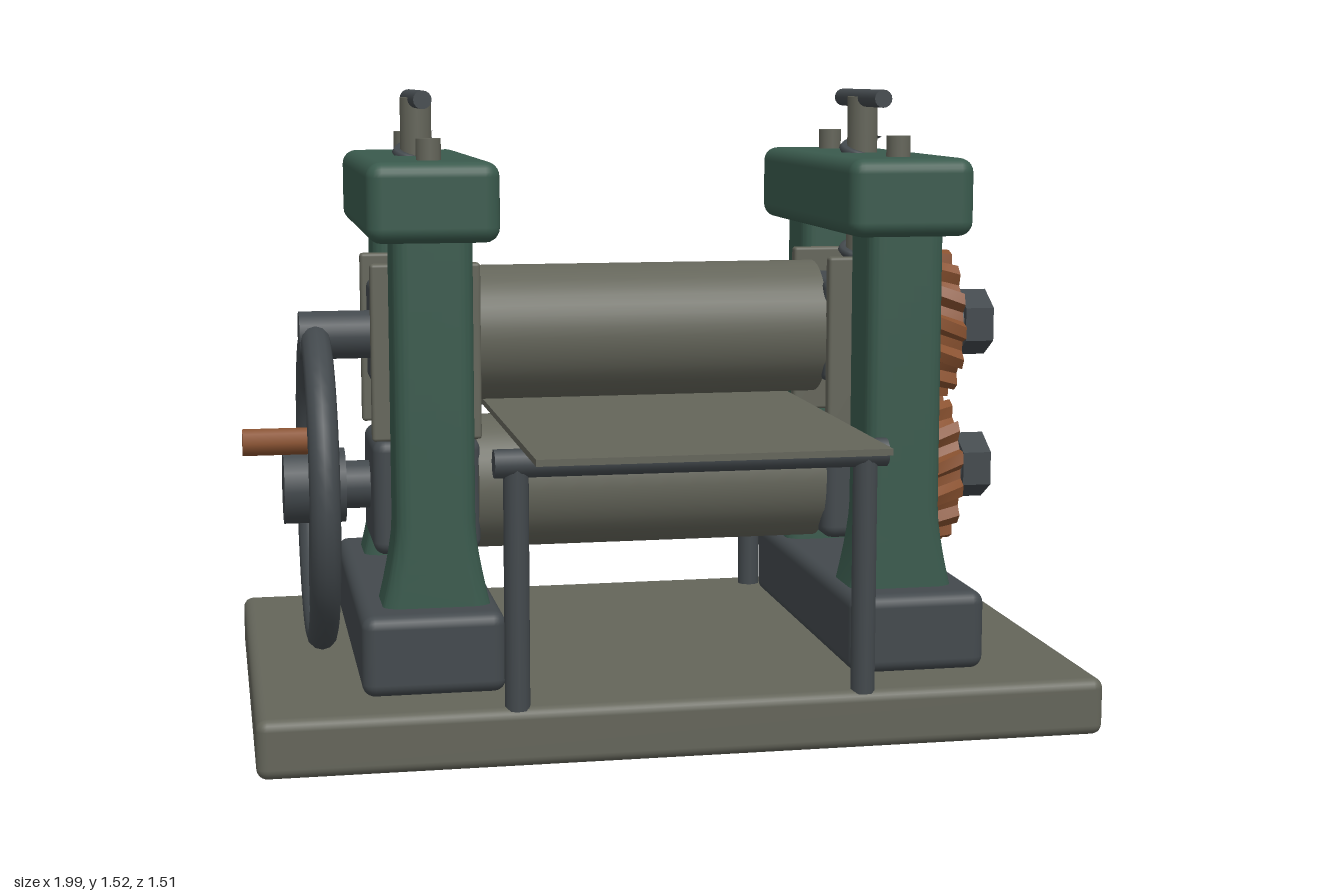
import * as THREE from 'three';
import { toCreasedNormals } from 'three/addons/utils/BufferGeometryUtils.js';
import { RoundedBoxGeometry } from 'three/addons/geometries/RoundedBoxGeometry.js';

const paint = (name, color) => new THREE.MeshStandardMaterial({ name, color });

export function createModel() {
  const green = paint('green enamel', 0x3a5a4d);
  const steel = paint('dark steel', 0x43494d);
  const iron = paint('grey iron', 0x64655a);
  const bronze = paint('bronze', 0x8a5230);

  const model = new THREE.Group();
  model.name = 'rollingMill';
  const CZ = -0.11, TOP = 0.924, LOW = 0.552, SX = 0.563;

  const add = (name, geo, mat, x = 0, y = 0, z = 0, parent = model) => {
    const mesh = new THREE.Mesh(geo, mat);
    mesh.name = name;
    mesh.position.set(x, y, z);
    parent.add(mesh);
    return mesh;
  };
  // Box given by its lower and upper limits
  const block = (name, mat, x0, x1, y0, y1, z0, z1, r = 0) => {
    const s = [x1 - x0, y1 - y0, z1 - z0];
    const geo = r ? new RoundedBoxGeometry(...s, 3, r) : new THREE.BoxGeometry(...s);
    return add(name, geo, mat, (x0 + x1) / 2, (y0 + y1) / 2, (z0 + z1) / 2);
  };
  // Rod along x from x0 to x1
  const rodX = (name, mat, r, x0, x1, y, z, sides = 24) => {
    const geo = new THREE.CylinderGeometry(r, r, x1 - x0, sides).rotateZ(Math.PI / 2);
    return add(name, sides <= 6 ? toCreasedNormals(geo, 0.5) : geo, mat, (x0 + x1) / 2, y, z);
  };
  // Upright rod from y0 to y1
  const rodY = (name, mat, r, y0, y1, x, z, sides = 16) =>
    add(name, new THREE.CylinderGeometry(r, r, y1 - y0, sides), mat, x, (y0 + y1) / 2, z);

  block('basePlate', iron, -0.993, 0.993, 0, 0.137, -0.752, 0.53, 0.025);

  // Column: rounded square section, flared sideways at the foot
  const h = 0.093, r = 0.035;
  const section = new THREE.Shape();
  [[1, 1], [-1, 1], [-1, -1], [1, -1]].forEach(([sx, sy], i) =>
    section.absarc(sx * (h - r), sy * (h - r), r, i * Math.PI / 2, (i + 1) * Math.PI / 2));
  let columnGeo = new THREE.ExtrudeGeometry(section,
    { depth: 0.92, steps: 24, bevelEnabled: false, curveSegments: 5 }).rotateX(-Math.PI / 2);
  const cp = columnGeo.attributes.position;
  for (let i = 0; i < cp.count; i++) {
    const t = Math.max(0, 1 - cp.getY(i) / 0.22);
    cp.setX(i, cp.getX(i) * (1 + 0.45 * t ** 1.4));
  }
  columnGeo = toCreasedNormals(columnGeo, 0.7);

  // Thread wound round the pressure screw
  const helix = [];
  for (let i = 0; i <= 48; i++) {
    const a = i / 12 * Math.PI * 2;
    helix.push(new THREE.Vector3(Math.cos(a) * 0.046, 1.07 + i / 48 * 0.34, Math.sin(a) * 0.046));
  }
  const threadGeo = new THREE.TubeGeometry(new THREE.CatmullRomCurve3(helix), 96, 0.012, 6);

  // Side frames, bearings and pressure screws
  for (const s of [-1, 1]) {
    const x = s * SX;
    const span = (a, b) => (s > 0 ? [a, b] : [-b, -a]);
    block('foot', steel, ...span(0.412, 0.745), 0.135, 0.325, -0.597, 0.378, 0.03);
    for (const z of [0.204, -0.42]) {
      add('column', columnGeo, green, x, 0.29, z);
      rodY('capBolt', iron, 0.029, 1.34, 1.41, x, z);
    }
    block('frameCap', green, ...span(0.411, 0.716), 1.175, 1.36, -0.56, 0.34, 0.035);
    for (const z of [0.062, -0.282])
      block('guidePlate', iron, ...span(0.43, 0.693), 0.685, 1.11, z - 0.017, z + 0.017, 0.008);
    block('upperBearing', steel, ...span(0.43, 0.68), 0.795, 1.05, -0.266, 0.046, 0.02);
    block('lowerBearing', steel, ...span(0.43, 0.69), 0.4, 0.683, -0.27, 0.05, 0.03);
    rodY('pressureScrew', iron, 0.038, 1.04, 1.5, x, CZ);
    add('screwThread', threadGeo, steel, x, 0, CZ);
    const bar = rodY('screwHandle', steel, 0.022, 0, 0.37, x, CZ);
    bar.rotation.x = Math.PI / 2;
    bar.position.y = 1.496;
  }

  // Rollers and their shafts
  rodX('upperRoller', iron, 0.166, -0.435, 0.435, TOP, CZ, 40);
  rodX('lowerRoller', iron, 0.166, -0.435, 0.435, LOW, CZ, 40);
  rodX('upperShaft', steel, 0.059, -0.855, 0.83, TOP, CZ);
  rodX('lowerShaft', steel, 0.059, -0.8, 0.83, LOW, CZ);

  // Gears with slightly twisted teeth
  const teeth = 14, outline = [];
  for (let i = 0; i < teeth; i++)
    for (const [f, rad] of [[0, 0.164], [0.32, 0.166], [0.48, 0.192], [0.82, 0.19]]) {
      const a = (i + f) / teeth * Math.PI * 2;
      outline.push(new THREE.Vector2(Math.cos(a) * rad, Math.sin(a) * rad));
    }
  const makeGear = (twist) => {
    const geo = new THREE.ExtrudeGeometry(new THREE.Shape(outline),
      { depth: 0.096, steps: 4, bevelEnabled: false });
    const p = geo.attributes.position, v = new THREE.Vector3(), axis = new THREE.Vector3(0, 0, 1);
    for (let i = 0; i < p.count; i++) {
      v.fromBufferAttribute(p, i);
      v.applyAxisAngle(axis, twist * v.z / 0.096);
      p.setXYZ(i, v.x, v.y, v.z);
    }
    return toCreasedNormals(geo.rotateY(Math.PI / 2), 0.5);
  };
  add('upperGear', makeGear(0.2), bronze, 0.688, TOP, CZ);
  add('lowerGear', makeGear(-0.2), bronze, 0.688, LOW, CZ).rotation.x = 0.1;
  for (const y of [TOP, LOW])
    rodX('axleNut', steel, 0.084, 0.822, 0.895, y, CZ, 6).rotation.x = Math.PI / 2;

  // Handwheel with five spokes and a crank grip on one of them
  const wheel = new THREE.Group();
  wheel.name = 'handwheel';
  wheel.position.set(-0.817, LOW, CZ);
  model.add(wheel);
  add('wheelRim', new THREE.TorusGeometry(0.367, 0.036, 12, 48).rotateY(Math.PI / 2), steel, 0, 0, 0, wheel);
  add('wheelHub', new THREE.CylinderGeometry(0.092, 0.092, 0.15, 24).rotateZ(Math.PI / 2), steel, -0.008, 0, 0, wheel);
  for (let i = 0; i < 5; i++) {
    const a = i / 5 * Math.PI * 2;
    const spoke = add('spoke', new THREE.CylinderGeometry(0.022, 0.022, 0.33, 10), steel,
      0, Math.sin(a) * 0.2, -Math.cos(a) * 0.2, wheel);
    spoke.rotation.x = a - Math.PI / 2;
    spoke.quaternion.setFromUnitVectors(new THREE.Vector3(0, 1, 0),
      new THREE.Vector3(0, Math.sin(a), -Math.cos(a)));
  }
  rodX('crankGrip', bronze, 0.032, -1, -0.82, 0.699, 0.115, 8);

  // Sheet passing between the rollers, carried on two rails
  block('sheet', iron, -0.395, 0.395, 0.729, 0.744, -0.755, 0.755);
  for (const z of [0.5, -0.665]) {
    rodX('supportRail', steel, 0.033, -0.455, 0.455, 0.695, z, 10);
    for (const x of [-0.405, 0.405]) rodY('supportPost', steel, 0.029, 0.13, 0.69, x, z, 12);
  }
  return model;
}
